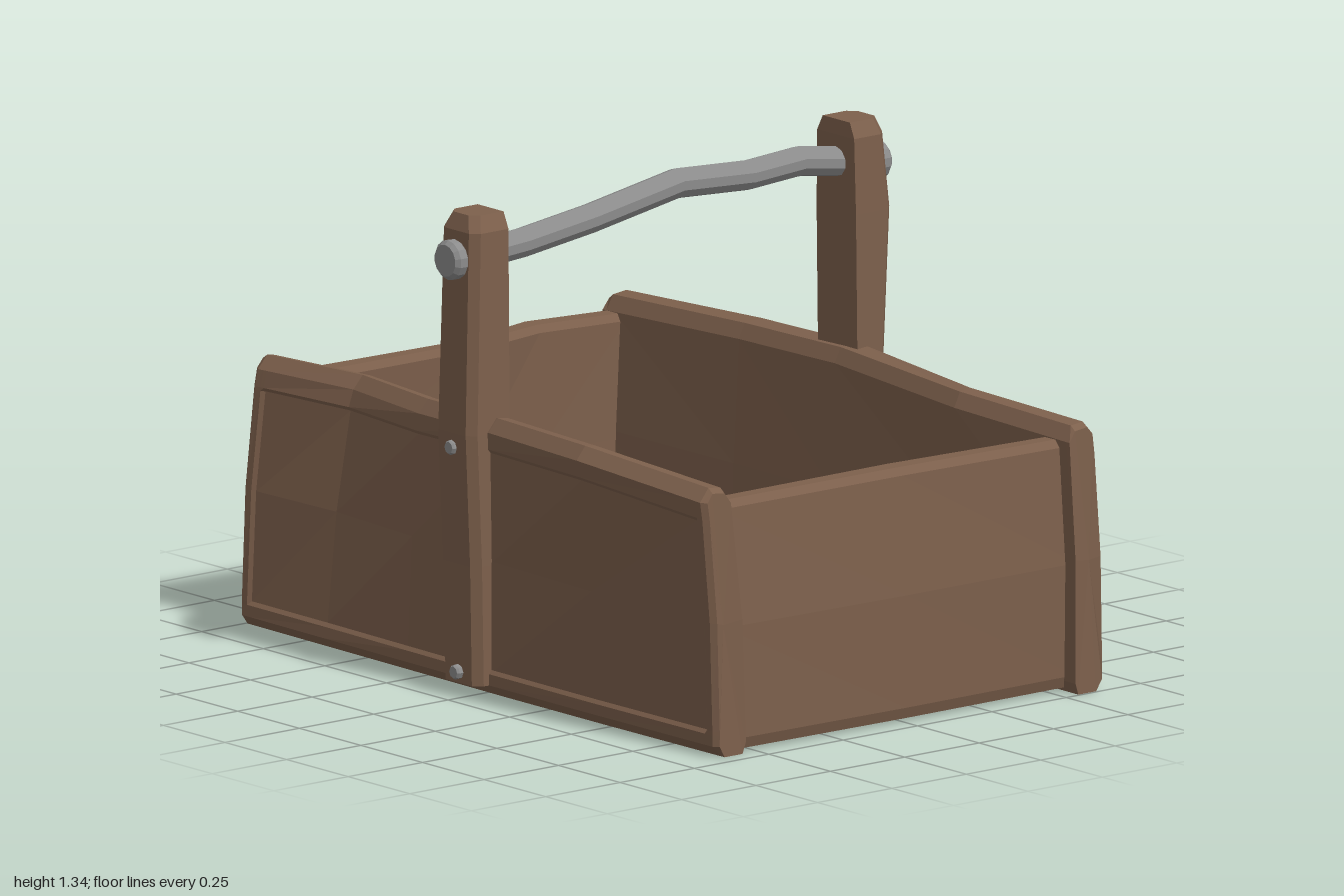
import * as THREE from 'three';

const wood = new THREE.MeshStandardMaterial({ color: 0x7d604c, flatShading: true });
wood.name = 'wood';
const metal = new THREE.MeshStandardMaterial({ color: 0x8c8c8c, flatShading: true });
metal.name = 'metal';

// Closed solid through equal-length loops of points, capped at both ends.
function loft(loops) {
  const tris = [];
  const n = loops[0].length;
  for (let s = 0; s < loops.length - 1; s++) {
    for (let k = 0; k < n; k++) {
      const a = loops[s][k], b = loops[s][(k + 1) % n];
      const c = loops[s + 1][(k + 1) % n], d = loops[s + 1][k];
      tris.push([a, b, c], [a, c, d]);
    }
  }
  const cap = (loop, flip) => {
    const mid = loop.reduce((m, p) => m.add(p), new THREE.Vector3()).divideScalar(n);
    loop.forEach((p, k) => {
      const q = loop[(k + 1) % n];
      tris.push(flip ? [mid, q, p] : [mid, p, q]);
    });
  };
  cap(loops[0], true);
  cap(loops[loops.length - 1], false);
  // Turn the faces outward whichever way the loops run.
  const volume = tris.reduce((v, [a, b, c]) => v + a.dot(b.clone().cross(c)), 0);
  if (volume < 0) tris.forEach((t) => t.reverse());
  const geometry = new THREE.BufferGeometry().setFromPoints(tris.flat());
  geometry.computeVertexNormals();
  return geometry;
}

// Linear interpolation in rows of [position, ...values].
function sample(rows, a) {
  let i = 0;
  while (i < rows.length - 2 && a > rows[i + 1][0]) i++;
  const t = (a - rows[i][0]) / (rows[i + 1][0] - rows[i][0]);
  return rows[i].map((v, k) => v + (rows[i + 1][k] - v) * t);
}

// Warped long board with a recessed panel; rows: [x, top y, outer top z, inner top z, outer base z].
function longBoard(rows, side) {
  const first = rows[0][0], last = rows[rows.length - 1][0];
  const stations = [...rows.map((r) => r[0]), first + 0.015, first + 0.035, first + 0.045,
    last - 0.045, last - 0.035, last - 0.015].sort((p, q) => p - q);
  const loops = stations.map((a) => {
    const [, h, o, i, b] = sample(rows, a);
    const recess = a > first + 0.04 && a < last - 0.04 ? 0.008 : 0;
    const e = a === first || a === last ? 0.012 : 0;
    const ib = b - 0.1;
    const outer = (y) => b + (o - b) * Math.pow(y / h, 1.4);
    const inner = (y) => ib + (i - ib) * Math.pow(y / h, 1.4);
    const profile = [
      [0, ib + 0.01], [0, b - 0.03], [0.03, b - e], [0.06, outer(0.06) - e],
      [0.07, outer(0.07) - recess - e], [0.36, outer(0.36) - recess - e],
      [h - 0.09, outer(h - 0.09) - recess - e], [h - 0.08, outer(h - 0.08) - e],
      [h - 0.035, o - e], [h - e, o - 0.03], [h - 0.005 - e, i + 0.02],
      [h - 0.045, i], [0.36, inner(0.36)], [0.03, ib],
    ];
    return profile.map(([y, d]) => {
      const bulge = 1 + 0.022 * Math.sin(Math.min(1, (y + 0.22) / (h + 0.22)) * Math.PI);
      return new THREE.Vector3(a * bulge, y, side * d);
    });
  });
  return loft(loops);
}

// Warped end board; rows: [z, top y, outer top x, inner top x, outer base x].
function endBoard(rows, side) {
  return loft(rows.map(([z, h, o, i, b]) => {
    const mid = (o + b) / 2 + 0.012;
    return [
      [0.01, b - 0.08], [0.01, b - 0.01], [0.04, b], [0.34, mid],
      [h - 0.02, o], [h, o - 0.015], [h, i + 0.012], [h - 0.02, i], [0.34, mid - 0.085],
    ].map(([y, d]) => new THREE.Vector3(side * d, y, z));
  }));
}

// Upright with chamfered outer corners; rows: [y, left x, right x, inner z, outer z].
function post(rows, side) {
  return loft(rows.map(([y, l, r, i, o]) => [
    [l, i], [l, o - 0.022], [l + 0.022, o], [r - 0.022, o], [r, o - 0.022], [r, i],
  ].map(([x, z]) => new THREE.Vector3(x, y, side * z))));
}

// Domed round fastener head facing out along z.
function fastener(radius, depth, x, y, z, sides) {
  const profile = [[0, -depth / 2], [radius * 0.85, -depth / 2], [radius, -depth / 4],
    [radius, depth / 4], [radius * 0.8, depth / 2], [0, depth / 2]];
  const geometry = new THREE.LatheGeometry(profile.map(([r, t]) => new THREE.Vector2(r, t)), sides);
  geometry.rotateX(z > 0 ? Math.PI / 2 : -Math.PI / 2);
  return geometry.translate(x, y, z);
}

export function createModel() {
  const group = new THREE.Group();
  const add = (name, geometry, material) => {
    const mesh = new THREE.Mesh(geometry, material);
    mesh.name = name;
    group.add(mesh);
  };

  // Tray
  add('frontBoard', longBoard([
    [-0.98, 0.715, 0.59, 0.515, 0.63], [-0.63, 0.715, 0.545, 0.47, 0.635],
    [-0.3, 0.72, 0.6, 0.52, 0.64], [0.05, 0.74, 0.655, 0.57, 0.645],
    [0.46, 0.748, 0.70, 0.615, 0.645], [0.94, 0.715, 0.67, 0.58, 0.64],
  ], 1), wood);
  add('backBoard', longBoard([
    [-0.945, 0.715, 0.65, 0.555, 0.63], [-0.4, 0.735, 0.665, 0.56, 0.64],
    [0, 0.745, 0.655, 0.55, 0.64], [0.55, 0.735, 0.58, 0.495, 0.64],
    [0.98, 0.715, 0.615, 0.525, 0.635],
  ], -1), wood);
  add('leftBoard', endBoard([
    [-0.57, 0.67, 0.945, 0.88, 0.95], [0, 0.675, 0.94, 0.865, 0.955], [0.6, 0.67, 0.92, 0.855, 0.945],
  ], 1), wood);
  add('rightBoard', endBoard([
    [-0.57, 0.67, 0.945, 0.875, 0.95], [-0.3, 0.675, 0.97, 0.895, 0.975],
    [-0.05, 0.675, 0.91, 0.85, 0.975], [0.55, 0.67, 0.95, 0.87, 0.975],
  ], -1), wood);
  add('floor', new THREE.BoxGeometry(1.84, 0.04, 1.16).translate(-0.01, 0.03, 0), wood);

  // Uprights
  add('frontPost', post([
    [0.03, -0.11, 0.04, 0.59, 0.685], [0.35, -0.11, 0.045, 0.59, 0.695],
    [0.7, -0.11, 0.045, 0.58, 0.71], [1.235, -0.105, 0.04, 0.58, 0.695],
    [1.278, -0.085, 0.02, 0.58, 0.68],
  ], 1), wood);
  add('backPost', post([
    [0.03, -0.105, 0.045, 0.59, 0.675], [0.4, -0.11, 0.045, 0.59, 0.68],
    [0.7, -0.11, 0.05, 0.585, 0.69], [1.1, -0.11, 0.05, 0.58, 0.71],
    [1.3, -0.105, 0.045, 0.578, 0.69], [1.34, -0.085, 0.025, 0.58, 0.68],
  ], -1), wood);

  // Bent handle bar
  const path = [[0.7, 1.155], [0.48, 1.17], [0.25, 1.2], [-0.04, 1.25],
    [-0.28, 1.236], [-0.45, 1.247], [-0.7, 1.21]];
  add('handleBar', loft(path.map(([z, y]) => Array.from({ length: 10 }, (_, k) => {
    const t = ((k + 0.5) / 10) * Math.PI * 2;
    return new THREE.Vector3(-0.03 + 0.04 * Math.cos(t), y + 0.04 * Math.sin(t), z);
  }))), metal);

  // Handle caps and bolts
  add('frontHandleCap', fastener(0.053, 0.044, -0.032, 1.16, 0.712, 14), metal);
  add('backHandleCap', fastener(0.053, 0.044, -0.032, 1.213, -0.712, 14), metal);
  [[0.66, 0.708], [0.06, 0.692], [0.68, -0.694], [0.06, -0.682]].forEach(([y, z]) =>
    add('bolt', fastener(0.02, 0.024, -0.035, y, z, 8), metal));

  return group;
}
